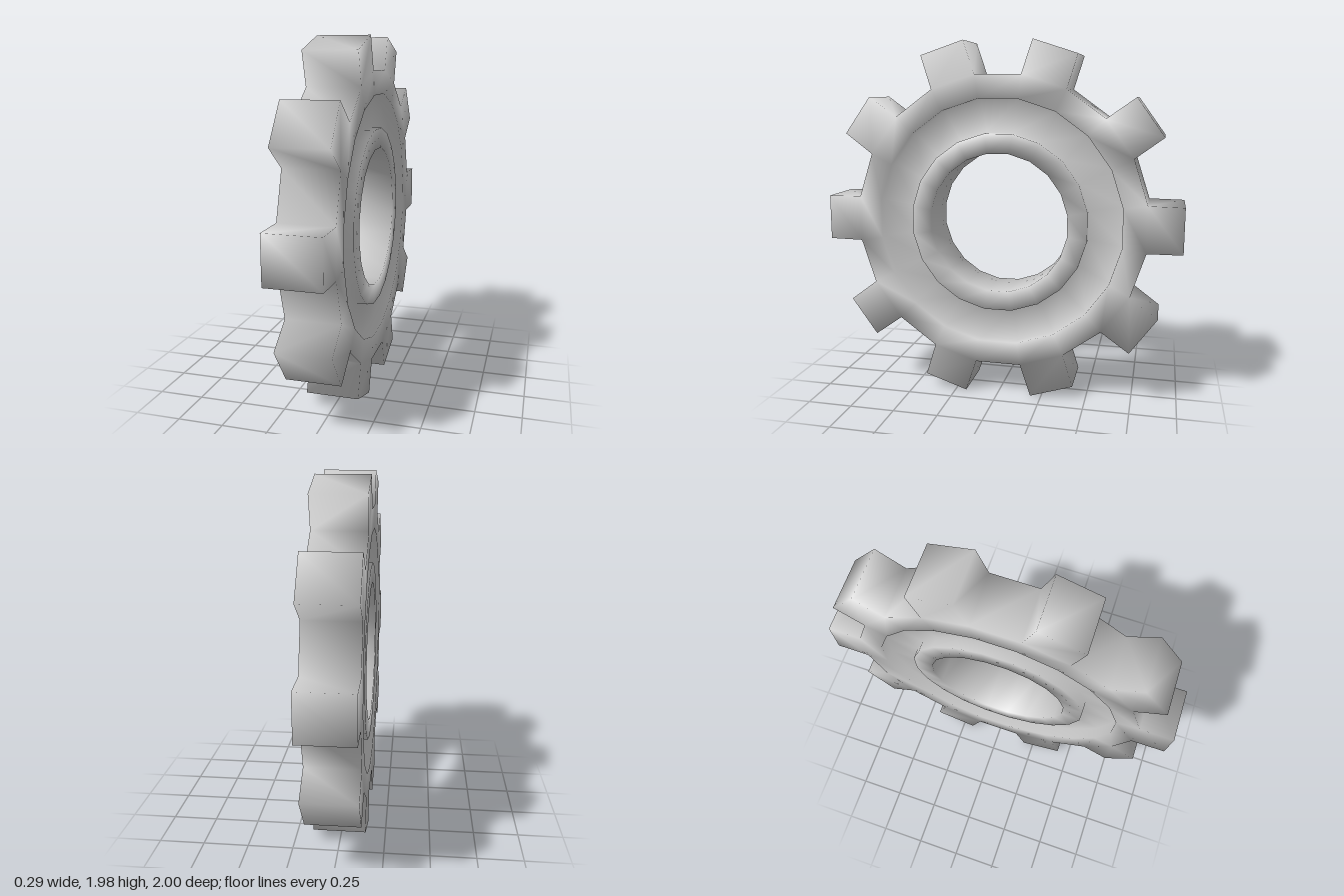
import * as THREE from 'three';

const TEETH = 10;
const SPOKES = TEETH * 2;
const STEP = (Math.PI * 2) / SPOKES;

// Half cross-section of the wheel from bore to root: [radius, x]
const HALF = [[0.39, 0.14], [0.5, 0.14], [0.5, 0.08], [0.69, 0.08], [0.69, 0.145], [0.82, 0.145]];
const PROFILE = [...HALF, ...HALF.map(([r, x]) => [r, -x]).reverse()];
const ROOT = HALF.length - 1; // profile step that forms the outer rim

function buildWheel() {
  const positions = [];
  const index = [];
  const vertex = (x, y, z) => positions.push(x, y, z) / 3 - 1;
  const quad = (a, b, c, d) => index.push(a, b, c, a, c, d);

  // Rings of cross-sections about the x axis
  const rings = [];
  for (let k = 0; k < SPOKES; k++) {
    const t = (k - 0.5) * STEP;
    rings.push(PROFILE.map(([r, x]) => vertex(x, r * Math.sin(t), r * Math.cos(t))));
  }

  for (let k = 0; k < SPOKES; k++) {
    const p = rings[k];
    const q = rings[(k + 1) % SPOKES];
    const hasTooth = k % 2 === 0;

    // Bore, faces, grooves and root flats
    for (let j = 0; j < PROFILE.length; j++) {
      if (hasTooth && j === ROOT) continue;
      const n = (j + 1) % PROFILE.length;
      quad(p[j], q[j], q[n], p[n]);
    }

    // Straight-sided tooth drawn out from every second flat
    if (hasTooth) {
      const c = Math.cos(k * STEP);
      const s = Math.sin(k * STEP);
      const tip = (x, w) => vertex(x, s + c * w, c - s * w);
      const a0 = tip(0.145, -0.126), a1 = tip(0.145, 0.126);
      const b0 = tip(-0.145, -0.126), b1 = tip(-0.145, 0.126);
      const A0 = p[ROOT], A1 = q[ROOT], B0 = p[ROOT + 1], B1 = q[ROOT + 1];
      quad(A0, A1, a1, a0);
      quad(a0, a1, b1, b0);
      quad(b0, b1, B1, B0);
      quad(A0, a0, b0, B0);
      quad(A1, B1, b1, a1);
    }
  }

  const geometry = new THREE.BufferGeometry();
  geometry.setAttribute('position', new THREE.Float32BufferAttribute(positions, 3));
  geometry.setIndex(index);
  geometry.computeVertexNormals(); // shared vertices give the soft shading
  return geometry;
}

export function createModel() {
  const group = new THREE.Group();
  group.name = 'gear';
  const wheel = new THREE.Mesh(buildWheel(), new THREE.MeshStandardMaterial({ color: 0xcccccc }));
  wheel.name = 'gearWheel';
  wheel.position.y = 0.99;
  group.add(wheel);
  return group;
}
